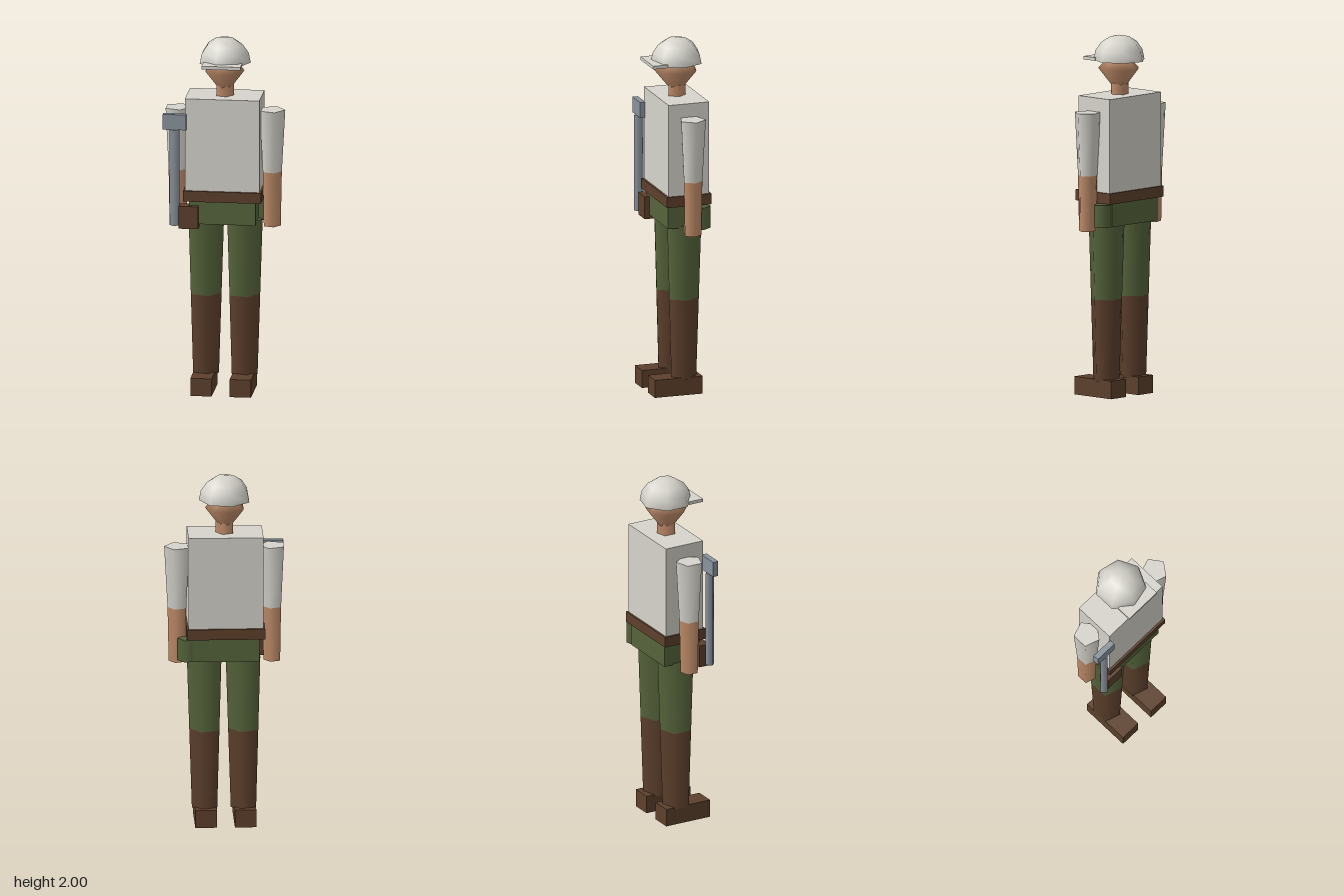
import * as THREE from 'three';

const CX = -0.0065, CZ = -0.022; // body axis

function material(name, color) {
  const m = new THREE.MeshStandardMaterial({ color });
  m.name = name;
  return m;
}

export function createModel() {
  const cloth = material('pale cloth', 0xd6d4cc);
  const skin = material('skin', 0xc08c69);
  const green = material('olive green', 0x56643b);
  const leather = material('brown leather', 0x5d402c);
  const steel = material('steel', 0x8a939e);

  const model = new THREE.Group();
  model.name = 'worker';

  function add(name, geometry, mat, parent = model) {
    const mesh = new THREE.Mesh(geometry, mat);
    mesh.name = name;
    parent.add(mesh);
    return mesh;
  }

  // Box given by its limits on each axis
  function box(name, mat, [x0, x1], [y0, y1], [z0, z1], parent) {
    const g = new THREE.BoxGeometry(x1 - x0, y1 - y0, z1 - z0);
    g.translate((x0 + x1) / 2, (y0 + y1) / 2, (z0 + z1) / 2);
    return add(name, g, mat, parent);
  }

  // Tapered five-sided post with one corner towards +x
  function post(name, mat, x, z, y0, y1, r0, r1, parent) {
    const g = new THREE.CylinderGeometry(r1, r0, y1 - y0, 5);
    g.rotateY(Math.PI / 2);
    g.translate(x, (y0 + y1) / 2, z);
    return add(name, g, mat, parent);
  }

  // Trunk
  box('torso', cloth, [-0.213, 0.2], [1.15, 1.672], [-0.14, 0.096]);
  box('belt', leather, [-0.222, 0.21], [1.09, 1.15], [-0.151, 0.108]);
  box('hips', green, [-0.19, 0.177], [0.96, 1.09], [-0.135, 0.091]);
  post('neck', skin, CX, -0.019, 1.66, 1.74, 0.052, 0.052);

  // Head, wide at the cheeks and pointed at the chin
  const headProfile = [[0, 1.667], [0.111, 1.815], [0.058, 1.872], [0, 1.9]]
    .map(([r, y]) => new THREE.Vector2(r, y));
  const head = new THREE.LatheGeometry(headProfile, 7);
  head.rotateY(Math.PI / 2);
  head.scale(1, 1, 1.09);
  head.translate(CX, 0, -0.018);
  add('head', head, skin);

  // Helmet with closed underside and a flat peak
  const helmet = new THREE.Group();
  helmet.name = 'helmet';
  model.add(helmet);
  const dome = new THREE.SphereGeometry(0.145, 7, 4, 0, Math.PI * 2, 0, Math.PI / 2);
  dome.rotateY(Math.PI);
  dome.scale(1, 0.97, 1);
  dome.translate(CX, 1.859, CZ);
  add('helmetDome', dome, cloth, helmet);
  const under = new THREE.CircleGeometry(0.145, 7);
  under.rotateX(Math.PI / 2);
  under.translate(CX, 1.859, CZ);
  add('helmetUnderside', under, cloth, helmet);
  box('helmetPeak', cloth, [-0.114, 0.101], [1.857, 1.875], [0.065, 0.152], helmet);

  // Arms and legs
  for (const [side, s] of [['left', 1], ['right', -1]]) {
    const arm = new THREE.Group();
    arm.name = side + 'Arm';
    const ax = CX + s * 0.261;
    post('sleeve', cloth, ax, CZ, 1.245, 1.595, 0.056, 0.075, arm);
    post('forearm', skin, ax, CZ, 0.937, 1.245, 0.05, 0.056, arm);

    const leg = new THREE.Group();
    leg.name = side + 'Leg';
    const lx = CX + s * 0.107;
    post('trouserLeg', green, lx, -0.018, 0.545, 0.97, 0.0905, 0.104, leg);
    post('bootShaft', leather, lx, -0.018, 0.09, 0.545, 0.076, 0.0905, leg);
    const fx = CX + s * 0.109;
    box('bootFoot', leather, [fx - 0.059, fx + 0.059], [0, 0.1], [-0.115, 0.163], leg);
    model.add(arm, leg);
  }

  // Belt gear
  box('pouch', leather, [-0.245, -0.137], [0.938, 1.065], [0.055, 0.119]);
  post('canteen', green, 0.201, -0.088, 0.96, 1.085, 0.057, 0.057);

  // Hammer carried at the right side
  const hammer = new THREE.Group();
  hammer.name = 'hammer';
  model.add(hammer);
  const shaft = new THREE.CylinderGeometry(0.027, 0.027, 0.545, 4);
  shaft.translate(-0.268, 1.2275, 0.108);
  add('hammerShaft', shaft, steel, hammer);
  box('hammerHead', steel, [-0.332, -0.203], [1.5, 1.587], [0.092, 0.124], hammer);

  return model;
}
